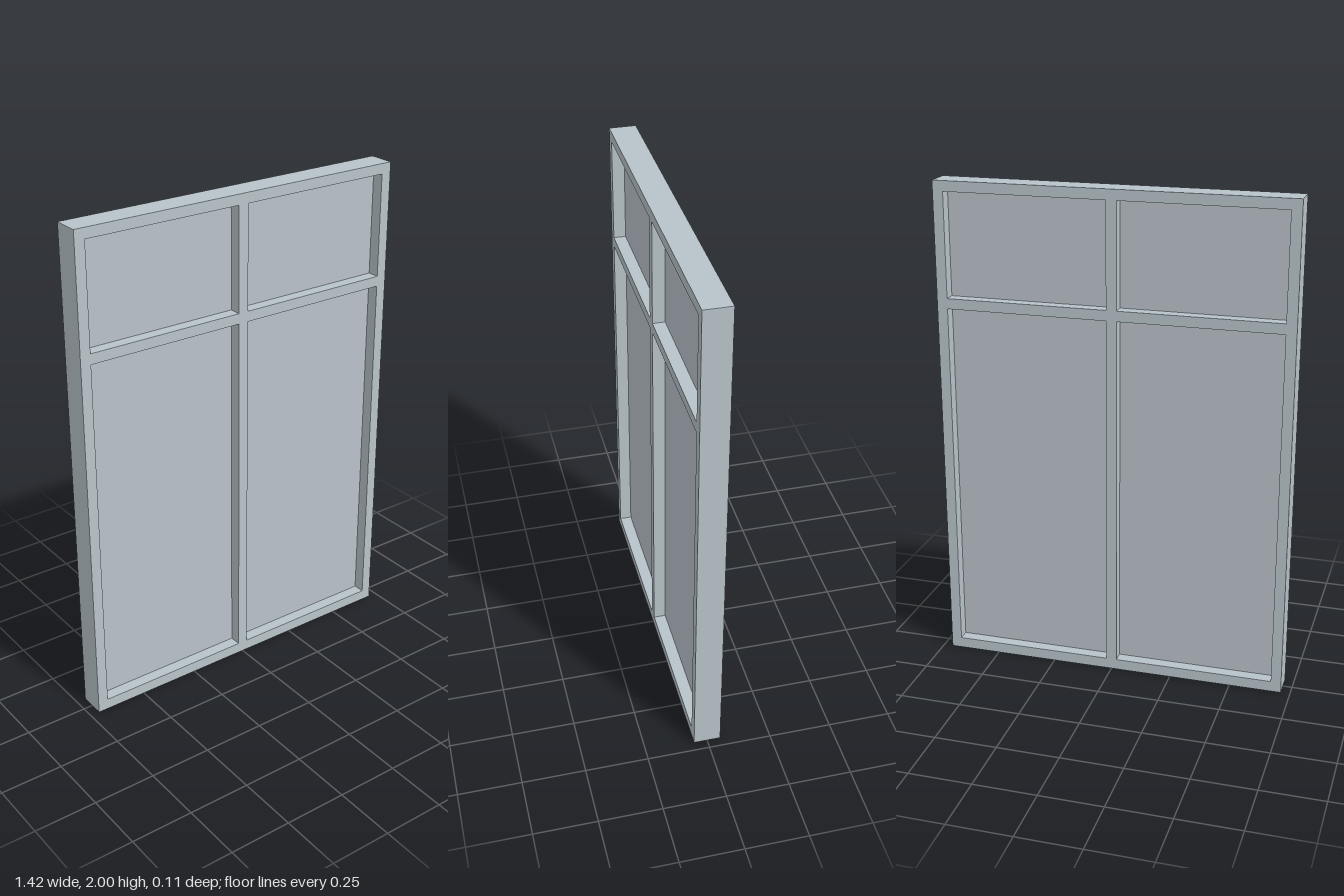
import * as THREE from 'three';

const WIDTH = 1.424, HEIGHT = 2, DEPTH = 0.107, BORDER = 0.042;
const TRANSOM_BOTTOM = 1.496, TRANSOM_TOP = 1.538;

// Rectangle outline from its left, bottom, right and top edges
function rectangle(Type, l, b, r, t) {
  return new Type([
    new THREE.Vector2(l, b), new THREE.Vector2(r, b),
    new THREE.Vector2(r, t), new THREE.Vector2(l, t),
  ]);
}

export function createModel() {
  const frameGrey = new THREE.MeshStandardMaterial({ color: 0xb8c4ca });
  frameGrey.name = 'frameGrey';
  const paneGrey = new THREE.MeshStandardMaterial({ color: 0xb9c2ca });
  paneGrey.name = 'paneGrey';

  const model = new THREE.Group();
  model.name = 'window';

  // Four openings: two tall lower lights and two short upper lights
  const inner = WIDTH / 2 - BORDER, mullion = BORDER / 2;
  const rows = [
    { name: 'lower', b: 0.044, t: TRANSOM_BOTTOM },
    { name: 'upper', b: TRANSOM_TOP, t: HEIGHT - BORDER },
  ];
  const columns = [
    { name: 'Right', l: -inner, r: -mullion },
    { name: 'Left', l: mullion, r: inner },
  ];

  const outline = rectangle(THREE.Shape, -WIDTH / 2, 0, WIDTH / 2, HEIGHT);
  for (const row of rows) {
    for (const col of columns) {
      outline.holes.push(rectangle(THREE.Path, col.l, row.b, col.r, row.t));

      // Thin pane set halfway through the frame
      const pane = new THREE.Mesh(
        new THREE.BoxGeometry(col.r - col.l, row.t - row.b, 0.009), paneGrey);
      pane.position.set((col.l + col.r) / 2, (row.b + row.t) / 2, 0);
      pane.name = row.name + col.name + 'Pane';
      model.add(pane);
    }
  }

  // Outer frame, mullion and transom, all flush front and back
  const frameGeometry = new THREE.ExtrudeGeometry(outline, { depth: DEPTH, bevelEnabled: false });
  frameGeometry.translate(0, 0, -DEPTH / 2);
  const frame = new THREE.Mesh(frameGeometry, frameGrey);
  frame.name = 'frame';
  model.add(frame);

  return model;
}
